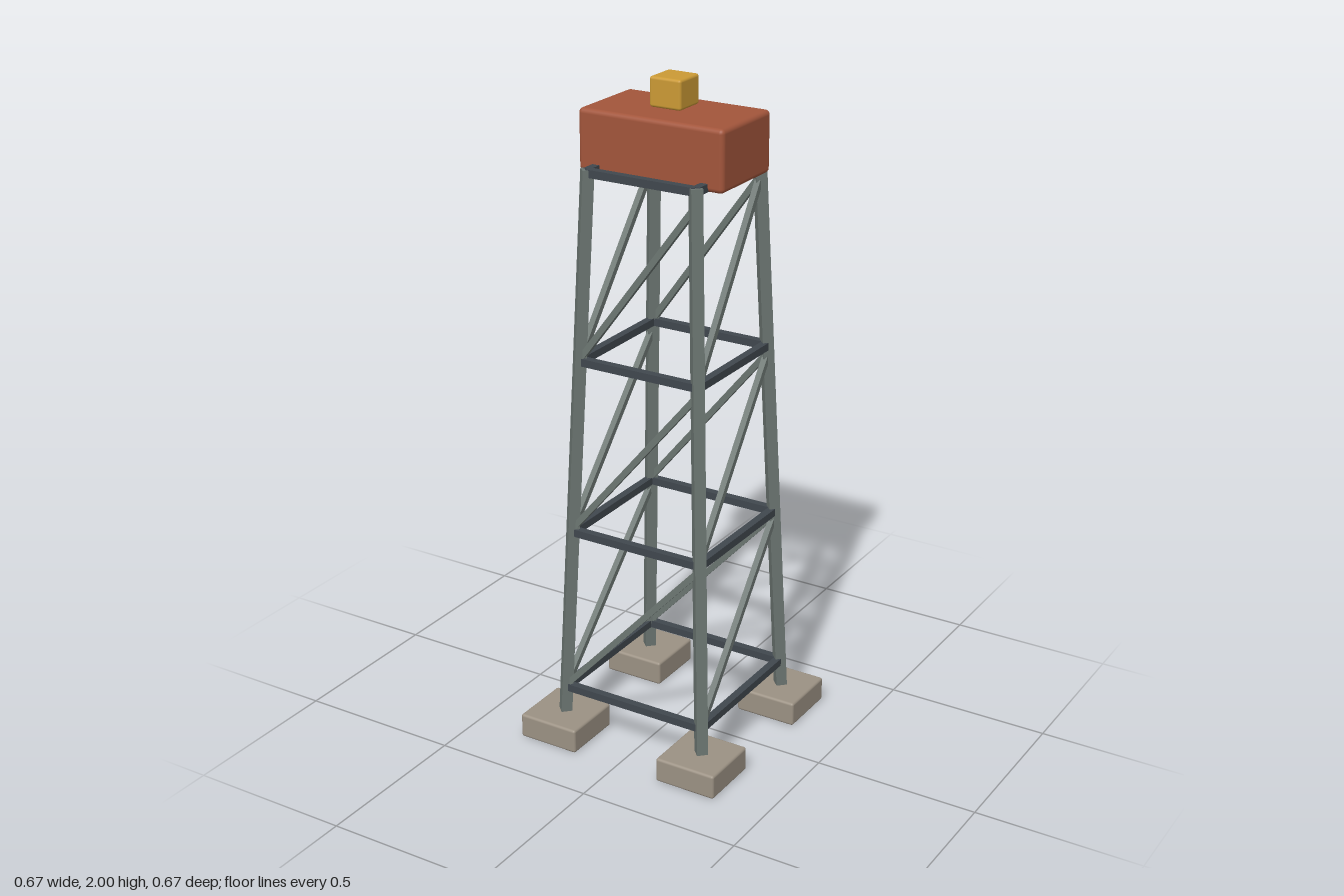
import * as THREE from 'three';
import { RoundedBoxGeometry } from 'three/addons/geometries/RoundedBoxGeometry.js';

const mat = (name, color) => Object.assign(new THREE.MeshStandardMaterial({ color }), { name });

export function createModel() {
  const steel = mat('steel', 0x6c7672);
  const darkSteel = mat('darkSteel', 0x40474e);
  const concrete = mat('concrete', 0x9b9183);
  const rust = mat('rustRed', 0xa2553b);
  const amber = mat('amber', 0xcb9a35);
  const tower = new THREE.Group();
  tower.name = 'tower';

  const V = (x, y, z) => new THREE.Vector3(x, y, z);

  // square bar between two points, one face turned towards "up"
  function bar(name, a, b, size, material, up) {
    const m = new THREE.Mesh(new THREE.BoxGeometry(size, size, a.distanceTo(b)), material);
    m.name = name;
    m.up.copy(up);
    m.position.copy(a).add(b).multiplyScalar(0.5);
    m.lookAt(b);
    tower.add(m);
  }

  // rounded block standing on height y
  function block(name, w, h, d, radius, x, y, z, material) {
    const m = new THREE.Mesh(new RoundedBoxGeometry(w, h, d, 3, radius), material);
    m.name = name;
    m.position.set(x, y + h / 2, z);
    tower.add(m);
  }

  // distance of the leaning leg axis from the centre planes
  const spread = (y) => 0.238 - (0.066 * (y - 0.07)) / 1.68;
  const onLeg = (sx, sz, y) => V(sx * spread(y), y, sz * spread(y));

  // feet and legs
  for (const sx of [-1, 1]) for (const sz of [-1, 1]) {
    block('foot', 0.194, 0.076, 0.194, 0.008, sx * 0.238, 0, sz * 0.238, concrete);
    bar('leg', onLeg(sx, sz, 0.06), onLeg(sx, sz, 1.752), 0.033, steel, V(sx, 0, sz));
  }

  // horizontal rings
  const levels = [0.157, 0.667, 1.196, 1.743];
  const up = V(0, 1, 0);
  for (const y of levels) for (const s of [-1, 1]) {
    bar('crossRail', onLeg(-1, s, y), onLeg(1, s, y), 0.023, darkSteel, up);
    bar('sideRail', onLeg(s, -1, y), onLeg(s, 1, y), 0.023, darkSteel, up);
  }

  // one diagonal brace per bay on every face
  const braces = [[0.16, 0.65], [0.675, 1.17], [1.198, 1.7]];
  for (const [low, high] of braces) for (const s of [-1, 1]) {
    bar('frontBrace', onLeg(-1, s, low), onLeg(1, s, high), 0.018, steel, V(0, 0, s));
    bar('sideBrace', onLeg(s, 1, low), onLeg(s, -1, high), 0.018, steel, V(s, 0, 0));
  }

  // cabin and beacon
  block('cabin', 0.46, 0.177, 0.26, 0.014, 0, 1.73, 0, rust);
  block('beacon', 0.1, 0.085, 0.1, 0.008, 0, 1.915, 0, amber);

  return tower;
}
